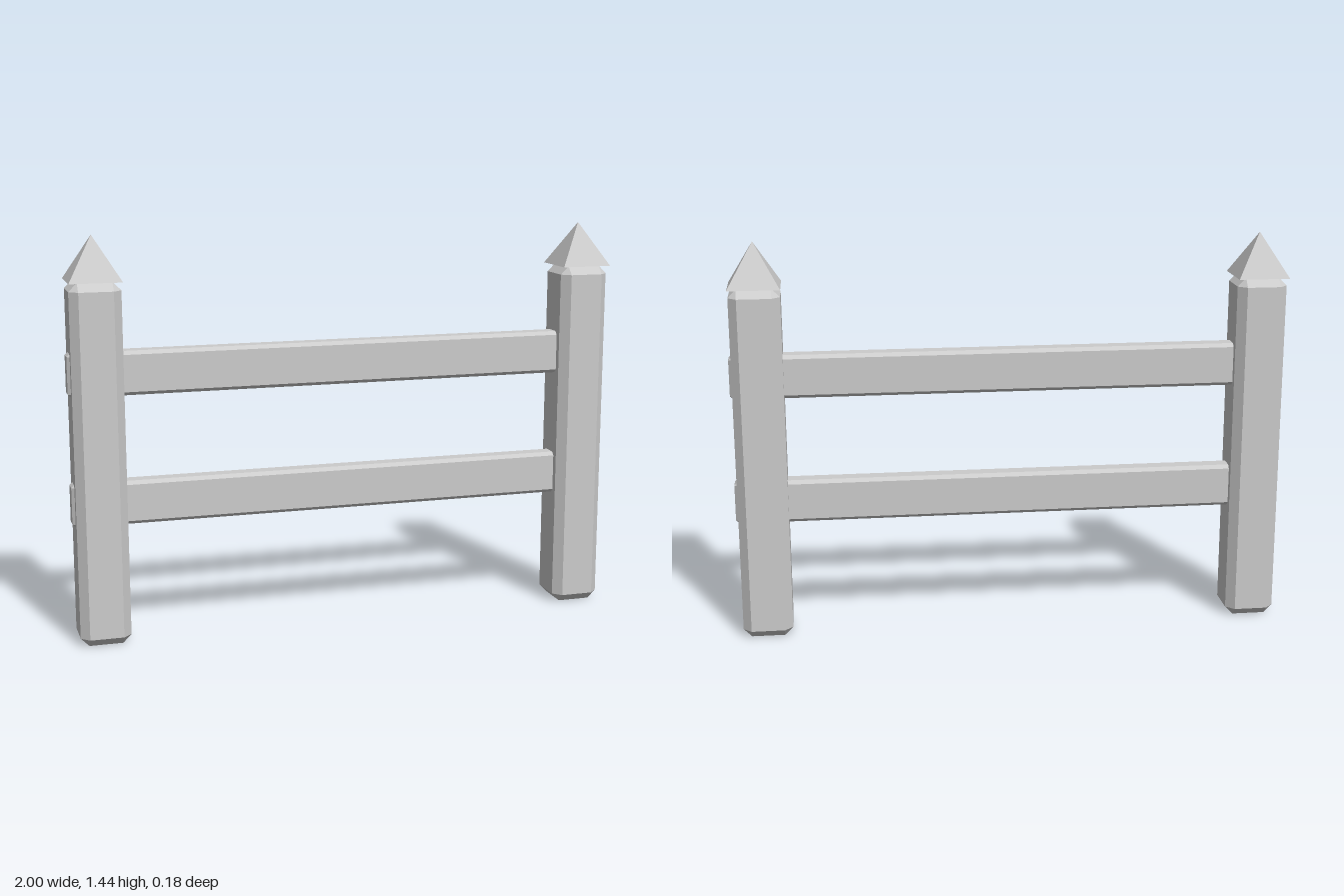
import * as THREE from 'three';
import { ConvexGeometry } from 'three/addons/geometries/ConvexGeometry.js';

// Box with every edge cut by a flat bevel c; hx, hy, hz are half sizes.
function bevelledBox(hx, hy, hz, c) {
  const points = [];
  for (const sx of [-1, 1]) for (const sy of [-1, 1]) for (const sz of [-1, 1]) {
    points.push(
      new THREE.Vector3(sx * hx, sy * (hy - c), sz * (hz - c)),
      new THREE.Vector3(sx * (hx - c), sy * hy, sz * (hz - c)),
      new THREE.Vector3(sx * (hx - c), sy * (hy - c), sz * hz),
    );
  }
  return new ConvexGeometry(points);
}

export function createModel() {
  const fence = new THREE.Group();
  fence.name = 'fence';
  const paint = new THREE.MeshStandardMaterial({ color: 0xcccccc, flatShading: true });
  paint.name = 'light grey';

  const add = (name, geometry, x, y) => {
    const mesh = new THREE.Mesh(geometry, paint);
    mesh.name = name;
    mesh.position.set(x, y, 0);
    fence.add(mesh);
  };

  // Posts with overhanging pyramid caps
  const postHeight = 1.287, capHeight = 0.156, capHalf = 0.092;
  const post = bevelledBox(0.09, postHeight / 2, 0.09, 0.03);
  const cap = new THREE.ConeGeometry(capHalf * Math.SQRT2, capHeight, 4).rotateY(Math.PI / 4);
  for (const [side, x] of [['left', 0.9], ['right', -0.9]]) {
    add(side + 'Post', post, x, postHeight / 2);
    add(side + 'PostCap', cap, x, postHeight + capHeight / 2);
  }

  // Rails pass through the posts and stick out slightly
  const rail = bevelledBox(1, 0.078, 0.0375, 0.0125);
  add('lowerRail', rail, 0, 0.504);
  add('upperRail', rail, 0, 0.965);

  return fence;
}
